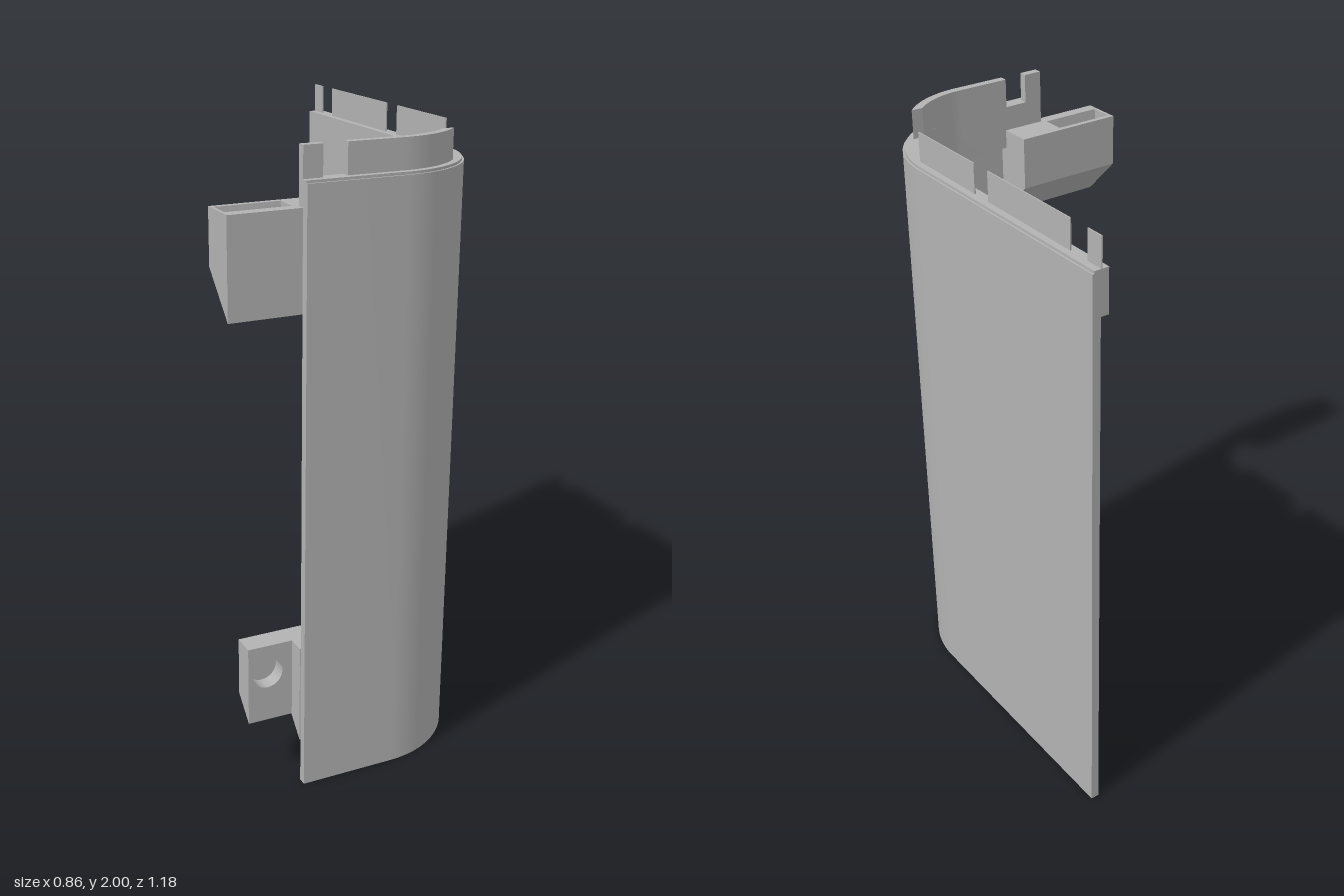
import * as THREE from 'three';
import { toCreasedNormals } from 'three/addons/utils/BufferGeometryUtils.js';

const CX = 0.105, CZ = 0.27; // centre of the rounded corner in plan

export function createModel() {
  const model = new THREE.Group();
  const grey = new THREE.MeshStandardMaterial({ color: 0xb2b2b2 });
  grey.name = 'grey plastic';

  const add = (name, geometry) => {
    const mesh = new THREE.Mesh(geometry, grey);
    mesh.name = name;
    model.add(mesh);
    return mesh;
  };
  const shapeOf = (pts, hole) => {
    const shape = new THREE.Shape(pts.map(p => new THREE.Vector2(...p)));
    if (hole) shape.holes.push(new THREE.Path(hole.map(p => new THREE.Vector2(...p))));
    return shape;
  };
  const extrude = (shape, depth) =>
    new THREE.ExtrudeGeometry(shape, { depth, bevelEnabled: false, curveSegments: 32 });

  // Plan line at radius r: along the front, round the corner, back along the side
  const planLine = (r, x0, zEnd) => {
    const pts = [[x0, CZ + r]];
    const end = Math.asin(Math.max(0, zEnd - CZ) / r);
    for (let i = 0; i <= 24; i++) {
      const a = Math.PI / 2 + (end - Math.PI / 2) * i / 24;
      pts.push([CX + r * Math.cos(a), CZ + r * Math.sin(a)]);
    }
    if (zEnd < CZ) pts.push([CX + r, zEnd]);
    return pts;
  };
  const shell = (name, rOut, rIn, y0, y1, x0 = -0.205, zEnd = -0.595) => {
    const pts = [...planLine(rOut, x0, zEnd), ...planLine(rIn, x0, zEnd).reverse()];
    const g = extrude(shapeOf(pts), y1 - y0);
    g.rotateX(Math.PI / 2).translate(0, y1, 0);
    add(name, toCreasedNormals(g, 0.5));
  };
  // Profile of [z, y] points swept from x0 to x1
  const sweepX = (name, pts, x0, x1, hole) => {
    const flip = list => list && list.map(([z, y]) => [-z, y]);
    const g = extrude(shapeOf(flip(pts), flip(hole)), x1 - x0);
    g.rotateY(Math.PI / 2).translate(x0, 0, 0);
    add(name, g);
  };
  const box = (name, x0, x1, y0, y1, z0, z1) => {
    const g = new THREE.BoxGeometry(x1 - x0, y1 - y0, z1 - z0);
    g.translate((x0 + x1) / 2, (y0 + y1) / 2, (z0 + z1) / 2);
    add(name, g);
  };

  // Curved wall with a thicker band inside its top edge
  shell('wall', 0.32, 0.293, 0, 1.9);
  shell('topBand', 0.293, 0.267, 1.77, 1.9);
  shell('topEdge', 0.314, 0.267, 1.9, 1.908);

  // Tabs along the top
  shell('cornerTab', 0.293, 0.267, 1.9, 2, -0.07, 0.47);
  box('frontTab', -0.205, -0.145, 1.9, 2, 0.537, 0.563);
  for (const [z0, z1] of [[0, 0.3], [-0.46, -0.07], [-0.595, -0.535]])
    box('sideTab', 0.393, 0.397, 1.9, 2, z0, z1);

  // Upper bracket: solid ends around a slotted middle
  const upper = [[0.433, 1.83], [0.433, 1.66], [0.563, 1.53], [0.563, 1.83]];
  const slot = [[0.525, 1.83], [0.51, 1.7], [0.465, 1.7], [0.45, 1.83]];
  sweepX('upperBracketEnd', upper, -0.43, -0.42);
  sweepX('upperBracketSlot', [...upper, ...slot], -0.42, -0.22);
  sweepX('upperBracketBase', upper, -0.22, -0.065);

  // Lower bracket: base on the wall, arm with a round socket in its front
  sweepX('lowerBracketBase',
    [[0.43, 0.47], [0.43, 0.28], [0.563, 0.147], [0.563, 0.47]], -0.208, -0.11);
  sweepX('lowerArmWedge', [[0.43, 0.28], [0.505, 0.21], [0.505, 0.28]], -0.355, -0.208);
  box('lowerArmBack', -0.355, -0.208, 0.28, 0.47, 0.43, 0.455);
  const plate = shapeOf([[-0.355, 0.28], [-0.208, 0.28], [-0.208, 0.47], [-0.355, 0.47]]);
  plate.holes.push(new THREE.Path().absarc(-0.29, 0.375, 0.05, 0, Math.PI * 2, true));
  const arm = extrude(plate, 0.05);
  arm.translate(0, 0, 0.455);
  add('lowerArmFront', toCreasedNormals(arm, 0.5));

  // Slotted lugs half way up, one on each wall; d is the distance from the wall
  const lug = [[0, 1.01], [0.09, 1.01], [0.09, 0.88], [0, 0.787]];
  const lugHole = [[0.035, 0.92], [0.065, 0.92], [0.065, 0.98], [0.035, 0.98]];
  const onFront = list => list.map(([d, y]) => [0.563 - d, y]);
  const onSide = list => list.map(([d, y]) => [0.398 - d, y]);
  sweepX('frontLug', onFront(lug), -0.065, 0.085, onFront(lugHole));
  const sideLug = extrude(shapeOf(onSide(lug), onSide(lugHole)), 0.147);
  sideLug.translate(0, 0, -0.11);
  add('sideLug', sideLug);

  return model;
}
